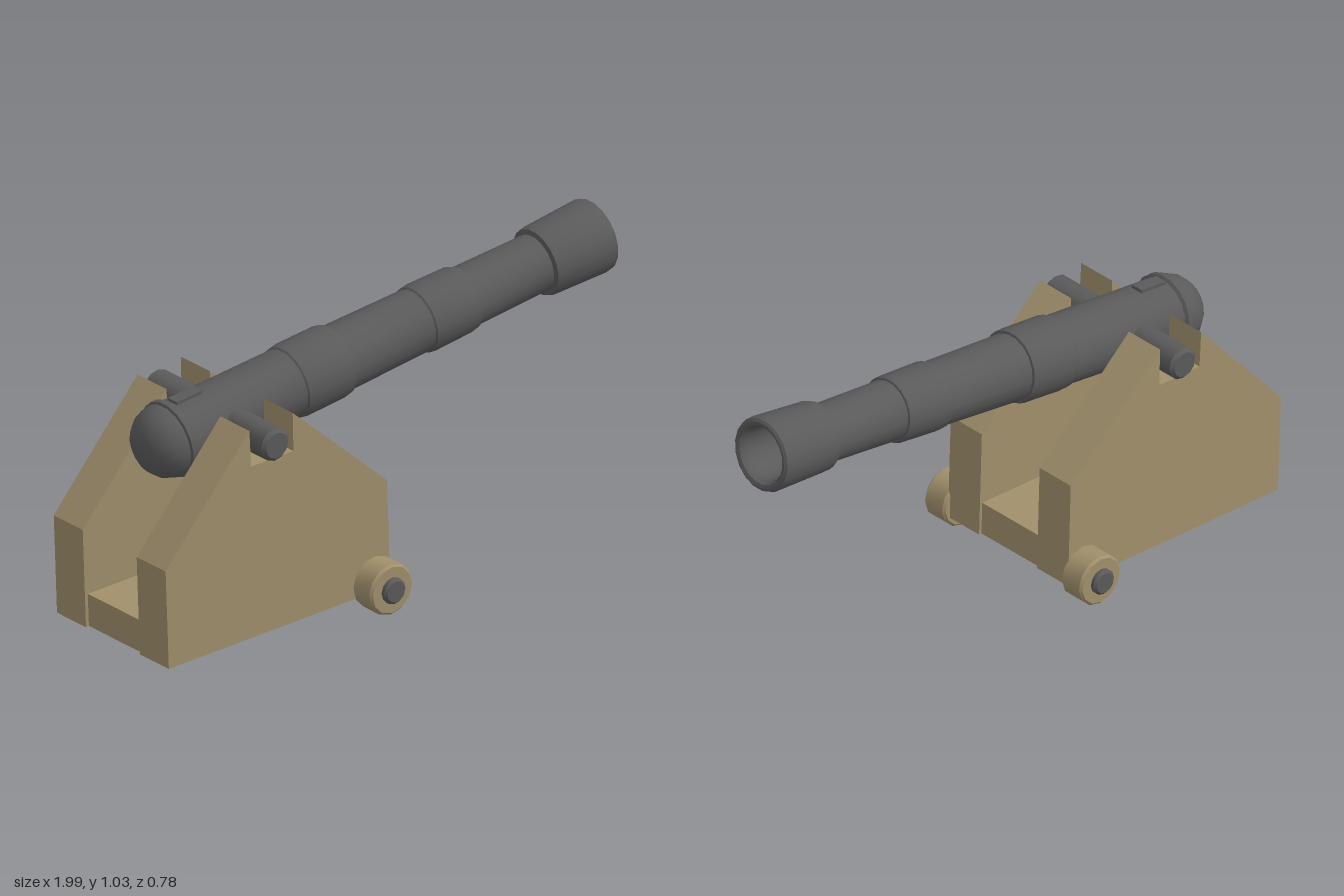
import * as THREE from 'three';
import { toCreasedNormals } from 'three/addons/utils/BufferGeometryUtils.js';

const wood = new THREE.MeshStandardMaterial({ color: 0xa08f6b });
const iron = new THREE.MeshStandardMaterial({ color: 0x5a5a5a });

function addMesh(parent, name, geometry, material) {
  const mesh = new THREE.Mesh(geometry, material);
  mesh.name = name;
  parent.add(mesh);
  return mesh;
}

// Turned part around y from [radius, height] pairs, with sharp steps kept
function turned(profile, sides) {
  const points = profile.map(([r, y]) => new THREE.Vector2(r, y));
  return toCreasedNormals(new THREE.LatheGeometry(points, sides), 0.55);
}

// Cylinder along z with chamfered ends
function chamfered(radius, z0, z1, bevel, sides) {
  const geometry = turned([
    [0, z0], [radius - bevel, z0], [radius, z0 + bevel],
    [radius, z1 - bevel], [radius - bevel, z1], [0, z1],
  ], sides);
  return geometry.rotateX(Math.PI / 2);
}

// Plate with a side outline in x and y, extruded from z0 to z1
function plate(outline, z0, z1) {
  const shape = new THREE.Shape(outline.map(([x, y]) => new THREE.Vector2(x, y)));
  const geometry = new THREE.ExtrudeGeometry(shape, { depth: z1 - z0, bevelEnabled: false });
  return geometry.translate(0, 0, z0);
}

function createCarriage() {
  const carriage = new THREE.Group();
  carriage.name = 'carriage';

  // Side cheeks, notched on top for the trunnions
  const cheek = [
    [-0.98, 0.02], [-0.075, 0.068], [-0.095, 0.438], [-0.488, 0.775],
    [-0.482, 0.642], [-0.655, 0.634], [-0.665, 0.76], [-1.0, 0.362],
  ];
  addMesh(carriage, 'leftCheek', plate(cheek, 0.135, 0.28), wood);
  addMesh(carriage, 'rightCheek', plate(cheek, -0.28, -0.135), wood);

  // Floor board between the cheeks
  const floor = [[-0.968, 0.021], [-0.085, 0.068], [-0.091, 0.181], [-0.975, 0.134]];
  addMesh(carriage, 'floor', plate(floor, -0.136, 0.136), wood);

  // Front wheels on one axle
  for (const side of [1, -1]) {
    const z = [0.272 * side, 0.367 * side].sort((a, b) => a - b);
    const wheel = addMesh(carriage, side > 0 ? 'leftWheel' : 'rightWheel',
      chamfered(0.088, z[0], z[1], 0.008, 12), wood);
    wheel.position.set(-0.138, 0.1, 0);
  }
  const axle = addMesh(carriage, 'axle', chamfered(0.044, -0.387, 0.387, 0.008, 12), iron);
  axle.position.set(-0.138, 0.1, 0);
  return carriage;
}

function createGun() {
  const gun = new THREE.Group();
  gun.name = 'gun';

  // Barrel: breech, tapering tube with two bands, muzzle swell, then the bore
  const barrel = addMesh(gun, 'barrel', turned([
    [0, -1.872], [0.05, -1.868], [0.085, -1.85], [0.11, -1.82], [0.122, -1.785],
    [0.122, -1.768], [0.13, -1.764], [0.13, -1.745], [0.119, -1.738],
    [0.116, -1.28], [0.121, -1.275], [0.125, -1.25], [0.124, -1.1], [0.12, -1.082],
    [0.112, -1.08], [0.107, -0.745], [0.112, -0.74], [0.115, -0.72], [0.112, -0.57],
    [0.108, -0.552], [0.101, -0.55], [0.097, -0.25], [0.114, -0.246], [0.118, -0.23],
    [0.126, -0.02], [0.122, -0.006], [0.112, 0], [0.1, -0.004], [0.092, -0.016],
    [0.088, -0.04], [0.086, -0.25], [0.081, -0.252], [0.08, -0.5], [0, -0.5],
  ], 18), iron);
  barrel.rotation.z = -Math.PI / 2;

  // Raised vent pad on top of the breech
  const vent = addMesh(gun, 'ventPad', new THREE.BoxGeometry(0.105, 0.03, 0.045), iron);
  vent.position.set(-1.675, 0.112, 0);

  gun.position.set(0.977, 0.91, 0);
  gun.rotation.z = 0.142;
  return gun;
}

export function createModel() {
  const model = new THREE.Group();
  model.name = 'cannon';
  model.add(createCarriage(), createGun());

  // Trunnion resting in the cheek notches
  const trunnion = addMesh(model, 'trunnion', chamfered(0.056, -0.305, 0.305, 0.012, 12), iron);
  trunnion.position.set(-0.57, 0.692, 0);

  // The whole piece leans slightly to its left
  model.rotation.x = 0.024;
  model.position.z = 0.004;
  return model;
}
